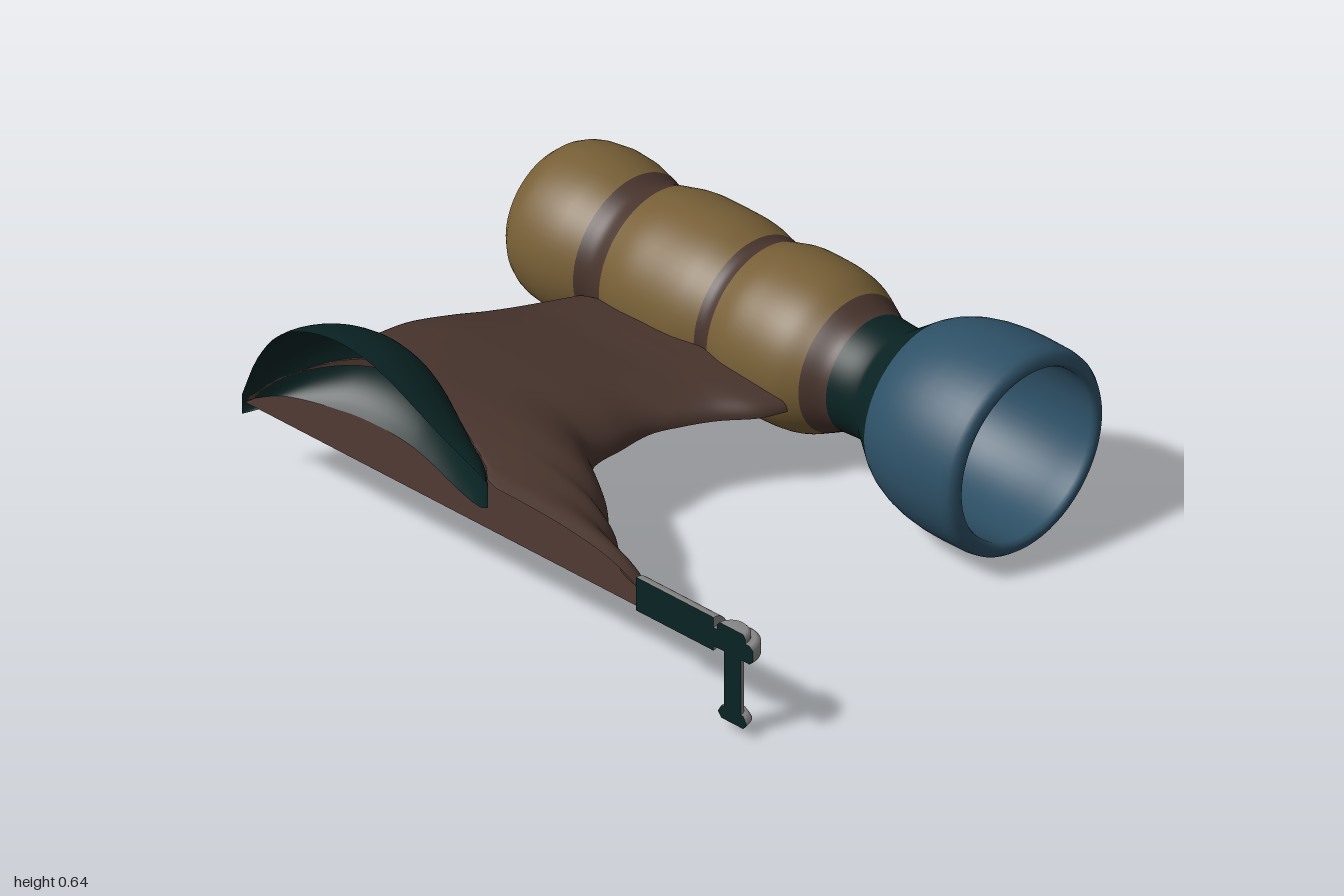
import * as THREE from 'three';

const mat = (name, color, double) => new THREE.MeshStandardMaterial({
  name, color, side: double ? THREE.DoubleSide : THREE.FrontSide });

const CUT = -0.785; // flat inner side of the model

// Smooth curve through [key, value, ...] rows, read at any key
function smooth(table, col) {
  const slope = (i) => {
    const a = table[Math.max(0, i - 1)], b = table[Math.min(table.length - 1, i + 1)];
    return (b[col] - a[col]) / (b[0] - a[0]);
  };
  return (k) => {
    let i = 0;
    while (i < table.length - 2 && k > table[i + 1][0]) i++;
    const a = table[i], b = table[i + 1], h = b[0] - a[0], t = (k - a[0]) / h;
    const t2 = t * t, t3 = t2 * t;
    return (2 * t3 - 3 * t2 + 1) * a[col] + (t3 - 2 * t2 + t) * h * slope(i)
      + (3 * t2 - 2 * t3) * b[col] + (t3 - t2) * h * slope(i + 1);
  };
}

// Surface from a rule point(s, t), with s across rows and t along each row
function surface(rows, cols, point) {
  const pos = [], index = [];
  for (let i = 0; i <= rows; i++)
    for (let j = 0; j <= cols; j++) pos.push(...point(i / rows, j / cols));
  for (let i = 0; i < rows; i++)
    for (let j = 0; j < cols; j++) {
      const a = i * (cols + 1) + j, b = a + cols + 1;
      index.push(a, a + 1, b, a + 1, b + 1, b);
    }
  const g = new THREE.BufferGeometry();
  g.setAttribute('position', new THREE.Float32BufferAttribute(pos, 3));
  g.setIndex(index);
  g.computeVertexNormals();
  return g;
}

export function createModel() {
  const model = new THREE.Group();
  model.name = 'model';
  const brown = mat('brown', 0x48342d, true);
  const gold = mat('gold', 0x786037);
  const blue = mat('blue', 0x2e5167);
  const teal = mat('dark teal', 0x0a2323, true);
  const grey = mat('grey', 0x8a8a8a);
  const add = (name, geometry, material, parent = model) => {
    const m = new THREE.Mesh(geometry, material);
    m.name = name;
    parent.add(m);
    return m;
  };

  // Engine: turned about the z axis, in coloured bands
  const engine = new THREE.Group();
  engine.name = 'engine';
  engine.position.set(0.46, 0.325, 0);
  engine.rotation.x = Math.PI / 2;
  model.add(engine);
  const turn = (name, pts, material) =>
    add(name, new THREE.LatheGeometry(pts.map(([z, r]) => new THREE.Vector2(r, z)), 64), material, engine);
  const radius = smooth([[-0.87, 0.245], [-0.8, 0.254], [-0.73, 0.25], [-0.66, 0.233], [-0.61, 0.222],
    [-0.56, 0.233], [-0.48, 0.251], [-0.4, 0.255], [-0.27, 0.252], [-0.19, 0.235], [-0.165, 0.23],
    [-0.14, 0.235], [-0.07, 0.252], [0, 0.255], [0.08, 0.251], [0.14, 0.238], [0.2, 0.21],
    [0.25, 0.186], [0.28, 0.18], [0.38, 0.18], [0.42, 0.205], [0.495, 0.26]], 1);
  const band = (name, z0, z1, material, n = 12) => turn(name,
    Array.from({ length: n + 1 }, (_, i) => {
      const z = z0 + (z1 - z0) * i / n;
      return [z, radius(z)];
    }), material);
  turn('engineTail', [[-1, 0], [-0.999, 0.06], [-0.993, 0.115], [-0.98, 0.16], [-0.96, 0.192],
    [-0.93, 0.22], [-0.9, 0.236], [-0.87, 0.245], [-0.8, 0.254], [-0.73, 0.25], [-0.66, 0.233]], gold);
  band('rearBand', -0.66, -0.56, brown);
  band('middleDrum', -0.56, -0.19, gold, 24);
  band('middleBand', -0.19, -0.14, brown, 6);
  band('frontDrum', -0.14, 0.195, gold, 24);
  band('collar', 0.195, 0.272, brown);
  band('neck', 0.272, 0.495, teal, 24);
  // Bell with a rounded lip and hollow inside
  turn('bell', [[0.495, 0.26], [0.53, 0.28], [0.58, 0.299], [0.64, 0.313], [0.7, 0.32], [0.76, 0.322],
    [0.84, 0.321], [0.868, 0.316], [0.884, 0.304], [0.89, 0.285], [0.888, 0.275], [0.875, 0.268],
    [0.8, 0.272], [0.68, 0.272], [0.57, 0.262], [0.495, 0.25]], blue);
  const disc = add('engineFace', new THREE.CircleGeometry(0.18, 48), brown, engine);
  disc.rotation.x = -Math.PI / 2;
  disc.position.y = 0.275;

  // Canopy: half a teardrop shell, open at the cut and reaching down to the wing floor.
  // Rows are z, half width, top y, widest y, bottom y
  const hood = [[-0.985, 0, 0.28, 0.24, 0.215], [-0.93, 0.09, 0.42, 0.28, 0.235],
    [-0.85, 0.172, 0.535, 0.34, 0.25], [-0.75, 0.237, 0.597, 0.39, 0.26], [-0.62, 0.262, 0.625, 0.41, 0.26],
    [-0.5, 0.252, 0.613, 0.41, 0.26], [-0.4, 0.218, 0.578, 0.41, 0.26], [-0.3, 0.17, 0.53, 0.4, 0.26],
    [-0.2, 0.118, 0.483, 0.39, 0.265], [-0.1, 0.065, 0.442, 0.38, 0.28], [-0.03, 0, 0.41, 0.37, 0.33]];
  const wide = smooth(hood, 1), high = smooth(hood, 2), mid = smooth(hood, 3), low = smooth(hood, 4);
  const DIP = 0.87; // angle the shell turns in below its widest line
  add('canopy', surface(48, 28, (s, t) => {
    const z = -0.985 + s * 0.955, a = -DIP + t * (Math.PI / 2 + DIP);
    const rise = a > 0 ? high(z) - mid(z) : (mid(z) - low(z)) / Math.sin(DIP);
    return [CUT + wide(z) * Math.cos(a), mid(z) + rise * Math.sin(a), z];
  }), teal);

  // Wing: flat underneath, arched on top. Rows are x, rear z, front z, top y
  const plan = [[CUT, -0.975, 0.58, 0.41], [-0.74, -0.962, 0.56, 0.42], [-0.71, -0.957, 0.465, 0.423],
    [-0.685, -0.953, 0.39, 0.426], [-0.62, -0.945, 0.32, 0.43], [-0.59, -0.941, 0.255, 0.431],
    [-0.51, -0.931, 0.175, 0.43], [-0.45, -0.925, 0.09, 0.423], [-0.4, -0.918, 0.015, 0.416],
    [-0.35, -0.913, -0.03, 0.409], [-0.24, -0.897, -0.033, 0.393], [-0.12, -0.845, -0.03, 0.37],
    [-0.03, -0.795, 0.008, 0.353], [0.06, -0.75, 0.06, 0.338], [0.15, -0.705, 0.135, 0.332],
    [0.23, -0.665, 0.17, 0.328]];
  const rear = smooth(plan, 1), front = smooth(plan, 2), top = smooth(plan, 3);
  const BASE = 0.26;
  const wingPoint = (x, t, up) => {
    const u = (1 - Math.cos(Math.PI * t)) / 2;
    const arch = Math.sqrt(Math.max(0, 1 - (u < 0.4 ? (1 - u / 0.4) ** 2 : ((u - 0.4) / 0.6) ** 5)));
    return [x, BASE + up * arch * (top(x) - BASE), rear(x) + u * (front(x) - rear(x))];
  };
  const across = (s) => CUT + s * (0.23 - CUT);
  // The upper skin stops at the canopy, so the canopy stays hollow
  add('wingTop', surface(80, 48, (s, t) => {
    const [x, y, z] = wingPoint(across(s), t, 1);
    const inside = z > -0.985 && z < -0.03 ? 0.96 * wide(z) : 0;
    return [Math.max(x, CUT + inside), y, z];
  }), brown);
  add('wingBottom', surface(80, 8, (s, t) => wingPoint(across(s), 1 - t, 0)), brown);

  // Front rod and pivot: half rounds against the cut side, closed by flat faces
  const halfRound = (name, pts, z) => {
    const g = new THREE.LatheGeometry(pts.map(([r, y]) => new THREE.Vector2(r, y)), 16, 0, Math.PI);
    add(name, g, grey).position.set(CUT, 0, z);
    const outline = pts.concat(pts.slice().reverse().map(([r, y]) => [-r, y]));
    const face = new THREE.ShapeGeometry(new THREE.Shape(outline.map(([r, y]) => new THREE.Vector2(r, y))));
    const cap = add(name + 'InnerFace', face, teal);
    cap.rotation.y = -Math.PI / 2;
    cap.position.set(CUT, 0, z);
  };
  const rod = add('rod', new THREE.CylinderGeometry(0.056, 0.056, 0.3, 16, 1, false, 0, Math.PI), grey);
  rod.rotation.x = Math.PI / 2;
  rod.position.set(CUT, 0.3, 0.695);
  const rodFace = add('rodInnerFace', new THREE.PlaneGeometry(0.3, 0.112), teal);
  rodFace.rotation.y = -Math.PI / 2;
  rodFace.position.copy(rod.position);
  halfRound('pivotRing', [[0, 0.26], [0.07, 0.26], [0.084, 0.272], [0.084, 0.31], [0.07, 0.322], [0, 0.322]], 0.914);
  halfRound('pivotBolt', [[0, 0.322], [0.056, 0.322], [0.056, 0.338], [0.045, 0.35], [0, 0.35]], 0.914);
  halfRound('pivotPost', [[0, 0.07], [0.033, 0.07], [0.033, 0.26], [0, 0.26]], 0.918);
  halfRound('pivotFoot', [[0, 0.032], [0.042, 0.032], [0.056, 0.05], [0.042, 0.075], [0, 0.075]], 0.918);

  return model;
}
